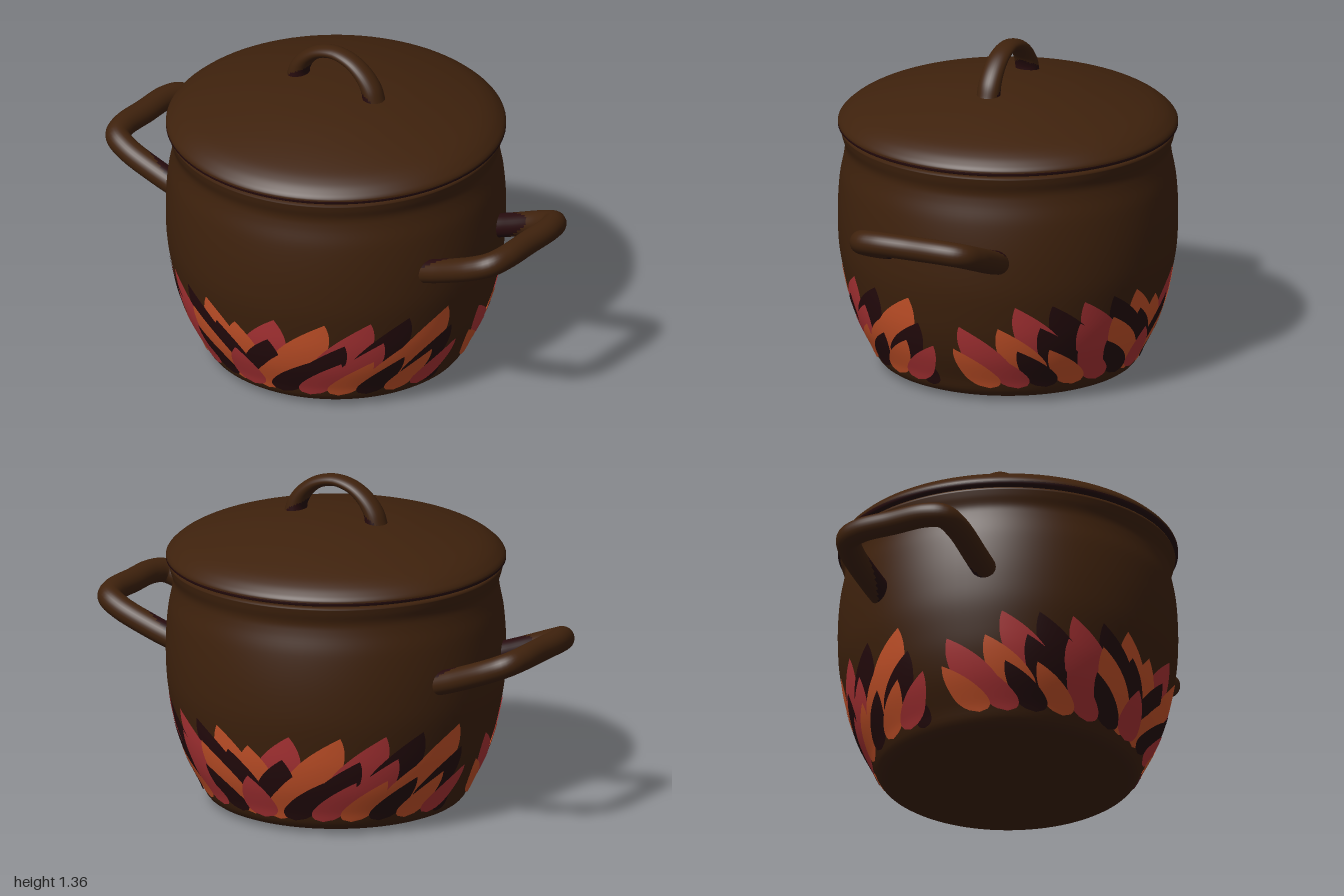
import * as THREE from 'three';

const paint = (name, color) => {
  const m = new THREE.MeshStandardMaterial({ color });
  m.name = name;
  return m;
};
const V2 = (p) => new THREE.Vector2(p[0], p[1]);
const V3 = (p) => new THREE.Vector3(...p);

// Outer wall of the pot, from foot to rim
const wall = new THREE.SplineCurve([
  [0.445, 0.004], [0.515, 0.03], [0.552, 0.1], [0.602, 0.2], [0.638, 0.3], [0.662, 0.4], [0.679, 0.5],
  [0.685, 0.6], [0.684, 0.7], [0.676, 0.8], [0.661, 0.88], [0.657, 0.925], [0.668, 0.965], [0.674, 0.992],
].map(V2)).getPoints(64);

// Radius of the outer wall at height y
function wallRadius(y) {
  let i = 1;
  while (i < wall.length - 1 && wall[i].y < y) i++;
  const a = wall[i - 1], b = wall[i];
  return THREE.MathUtils.mapLinear(y, a.y, b.y, a.x, b.x);
}

// Tube along a planar path: normal is the plane's normal, size(t) gives [in-plane, normal] radii,
// and dark(t, angle) picks the second material
function sweep(points, normal, size, dark, steps = 96, sides = 28) {
  const curve = new THREE.CatmullRomCurve3(points.map(V3), false, 'centripetal');
  const N = V3(normal).normalize();
  const pos = [], plain = [], marked = [];
  for (let i = 0; i <= steps; i++) {
    const t = i / steps, c = curve.getPointAt(t);
    const S = N.clone().cross(curve.getTangentAt(t)).normalize();
    const [a, b] = size(t);
    for (let j = 0; j < sides; j++) {
      const f = (j / sides) * Math.PI * 2;
      const p = c.clone().addScaledVector(S, a * Math.cos(f)).addScaledVector(N, b * Math.sin(f));
      pos.push(p.x, p.y, p.z);
      if (i === steps) continue;
      const k = i * sides + j, k1 = i * sides + ((j + 1) % sides);
      const list = dark((i + 0.5) / steps, ((j + 0.5) / sides) * Math.PI * 2) ? marked : plain;
      list.push(k, k1, k + sides, k1, k1 + sides, k + sides);
    }
  }
  const g = new THREE.BufferGeometry();
  g.setAttribute('position', new THREE.Float32BufferAttribute(pos, 3));
  g.setIndex([...plain, ...marked]);
  g.addGroup(0, plain.length, 0);
  g.addGroup(plain.length, marked.length, 1);
  g.computeVertexNormals();
  return g;
}

// Leaf-shaped flame lying on the wall; angles in degrees from the front
function flame(base, tip, y0, y1, halfWidth, lift) {
  const rows = 18, cols = 10, pos = [], idx = [];
  for (let i = 0; i <= rows; i++) {
    const u = i / rows, y = y0 + (y1 - y0) * u;
    const q = Math.min(1, u / 0.32);
    const w = halfWidth * Math.sqrt(q * (2 - q)) * (1 - Math.pow(u, 2.6));
    const mid = base + (tip - base) * Math.pow(u, 1.15);
    const r = wallRadius(y) + lift;
    for (let j = 0; j <= cols; j++) {
      const a = THREE.MathUtils.degToRad(mid + w * ((2 * j) / cols - 1));
      pos.push(r * Math.sin(a), y, r * Math.cos(a));
      if (i === rows || j === cols) continue;
      const k = i * (cols + 1) + j, n = k + cols + 1;
      idx.push(k, k + 1, n, k + 1, n + 1, n);
    }
  }
  const g = new THREE.BufferGeometry();
  g.setAttribute('position', new THREE.Float32BufferAttribute(pos, 3));
  g.setIndex(idx);
  g.computeVertexNormals();
  return g;
}

export function createModel() {
  const brown = paint('brown enamel', 0x3f220d);
  const dark = paint('dark maroon', 0x260b0d);
  const red = paint('red', 0xb43638);
  const orange = paint('orange', 0xcf562b);
  dark.side = red.side = orange.side = THREE.DoubleSide;

  const model = new THREE.Group();
  model.name = 'cookingPot';
  const add = (parent, name, geometry, material) => {
    const mesh = new THREE.Mesh(geometry, material);
    mesh.name = name;
    parent.add(mesh);
    return mesh;
  };
  const lathe = (points) => new THREE.LatheGeometry(points, 96);

  // Pot body with rim, inner wall and floor
  const inside = [[0.67, 1.0], [0.645, 1.0], [0.638, 0.98], [0.625, 0.9], [0.65, 0.65], [0.61, 0.3], [0.48, 0.05], [0, 0.04]];
  add(model, 'potBody', lathe([...wall, ...inside.map(V2)]), brown);
  add(model, 'potBase', lathe([[0, 0], [0.435, 0], [0.445, 0.004]].map(V2)), brown);

  // Lid dome, and its dark underside with the flange that sits in the pot
  const lid = new THREE.Group();
  lid.name = 'lid';
  model.add(lid);
  const dome = new THREE.SplineCurve([
    [0.685, 1.022], [0.683, 1.032], [0.67, 1.048], [0.635, 1.075], [0.575, 1.103], [0.46, 1.138],
    [0.32, 1.17], [0.2, 1.188], [0.1, 1.197], [0, 1.2],
  ].map(V2)).getPoints(48);
  add(lid, 'lidDome', lathe(dome), brown);
  const underside = [[0, 0.99], [0.6, 0.985], [0.632, 0.985], [0.634, 1.008], [0.636, 1.009], [0.68, 1.009], [0.685, 1.013], [0.685, 1.022]];
  add(lid, 'lidUnderside', lathe(underside.map(V2)), dark);

  // Arched lid handle with dark inner feet
  const arch = [[-0.19, 1.165, 0], [-0.178, 1.22, 0], [-0.14, 1.275, 0], [-0.08, 1.318, 0], [0, 1.336, 0]];
  const archPath = [...arch, ...arch.slice(0, 4).reverse().map(([x, y, z]) => [-x, y, z])];
  const endness = (t) => Math.abs(2 * t - 1);
  add(lid, 'lidHandle', sweep(archPath, [0, 0, 1],
    (t) => [0.024 + 0.023 * endness(t) ** 2, 0.04 + 0.01 * endness(t)],
    (t, f) => Math.abs(f - Math.PI) < (endness(t) - 0.6) * 6.5), [brown, dark]);

  // Side handles, one turned half round from the other
  const half = [[0.6, 0.632, -0.238], [0.7, 0.666, -0.243], [0.86, 0.728, -0.243], [0.927, 0.756, -0.218], [0.95, 0.766, -0.15]];
  const sidePath = [...half, [0.951, 0.767, 0], ...[...half].reverse().map(([x, y, z]) => [x, y, -z])];
  const sideGeometry = sweep(sidePath, [-0.36, 0.93, 0], () => [0.05, 0.049],
    (t, f) => endness(t) > 0.62 && Math.abs(f - Math.PI + 0.55) < (endness(t) - 0.56) * 5.4);
  ['leftHandle', 'rightHandle'].forEach((name, i) => {
    add(model, name, sideGeometry, [brown, dark]).rotation.y = i * Math.PI;
  });

  // Flame bands: three rows per quarter, leaning away from the middle of the front and back.
  // Each row: tip angles, colours from the middle outwards, bottom, top, half width
  const tints = { R: red, O: orange, D: dark };
  const quarterA = [
    { tips: [14, 32, 48, 62, 78], hues: 'RORDO', y0: 0.2, y1: 0.45, w: 9.8 },
    { tips: [11, 25, 39, 53, 67, 81], hues: 'DODROD', y0: 0.12, y1: 0.345, w: 8.8 },
    { tips: [14, 26, 38, 50, 62, 74, 86], hues: 'ODRODOR', y0: 0.06, y1: 0.25, w: 7.2 },
  ];
  const quarterB = [
    { tips: [15, 26, 38, 50, 63], hues: 'ODRDR', y0: 0.2, y1: 0.45, w: 8.8 },
    { tips: [11, 25, 39, 54, 69, 83], hues: 'DORDOR', y0: 0.12, y1: 0.355, w: 8.8 },
    { tips: [14, 26, 38, 50, 62, 74, 86], hues: 'ODRODRO', y0: 0.065, y1: 0.25, w: 7.2 },
  ];
  [0, 180].forEach((turn) => {
    const band = new THREE.Group();
    band.name = turn ? 'backFlames' : 'frontFlames';
    band.rotation.y = THREE.MathUtils.degToRad(turn);
    model.add(band);
    [[1, quarterA], [-1, quarterB]].forEach(([side, quarter]) => quarter.forEach((row, layer) => {
      row.tips.forEach((tip, i) => {
        const lift = 0.002 + layer * 0.002 + i * 0.00028 + (side < 0 ? 0.00014 : 0);
        const lean = Math.min(13, tip * 0.55);
        add(band, 'flame', flame(side * (tip - lean), side * tip, row.y0, row.y1, row.w, lift), tints[row.hues[i]]);
      });
    }));
    // Middle flames closing the gap between the two leaning halves
    add(band, 'middleFlame', flame(0, -2, 0.17, 0.39, 8.5, 0.0038), orange);
    add(band, 'middleFlame', flame(-1, -4, 0.06, 0.25, 8, 0.0082), red);
    // Small dark flame at the outer foot of the band
    add(band, 'smallFlame', flame(80, 83, 0.05, 0.14, 4, 0.0015), dark);
  });
  return model;
}
